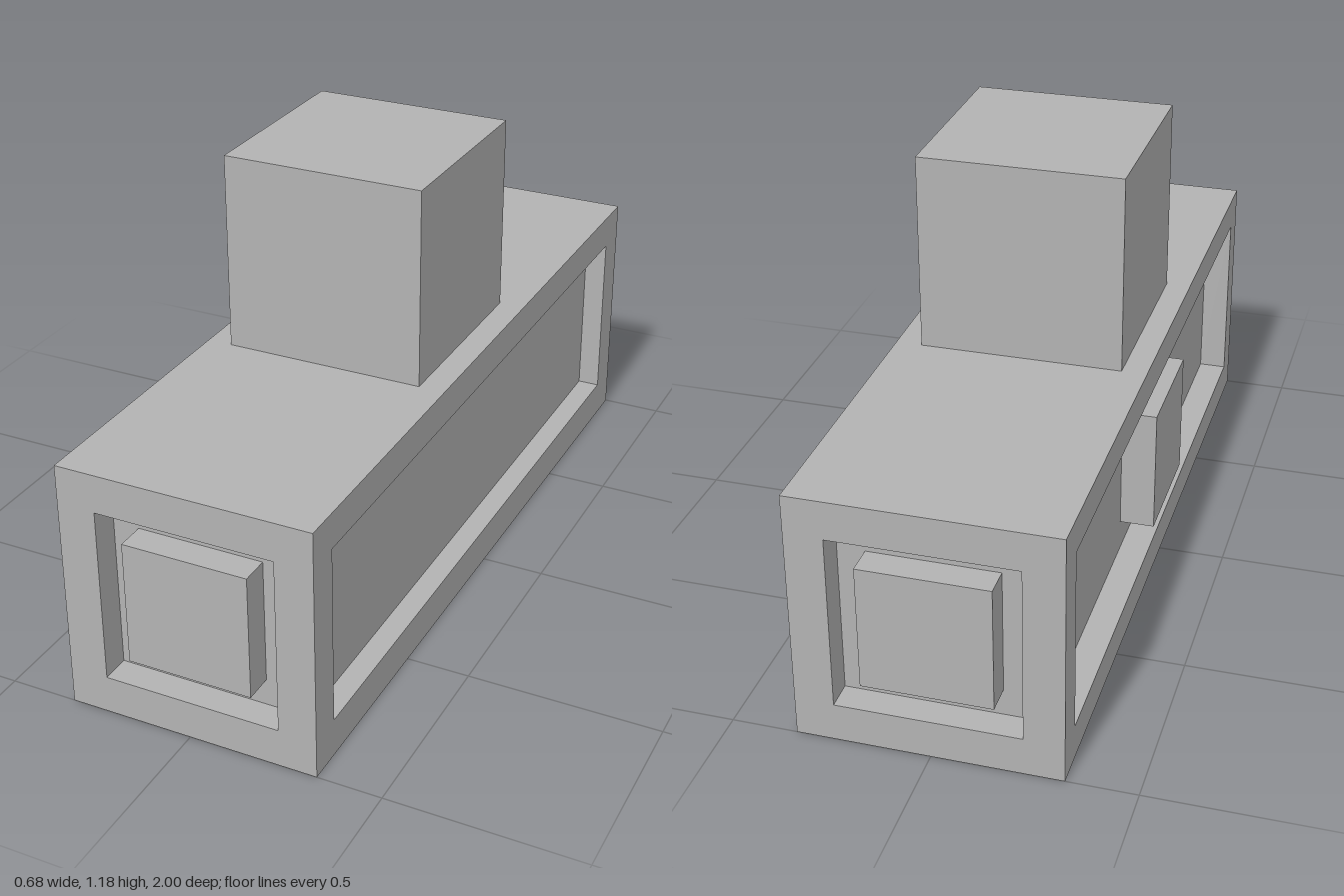
import * as THREE from 'three';

const L = -0.325, R = 0.335, H = 0.66, END = 1;   // body limits
const DEPTH_END = 0.075, DEPTH_R = 0.06, DEPTH_L = 0.075; // recess depths

export function createModel() {
  const model = new THREE.Group();
  model.name = 'recessedBlock';
  const grey = new THREE.MeshStandardMaterial({ color: 0xb3b3b3 });
  grey.name = 'plain grey';

  const add = (name, geometry) => {
    const mesh = new THREE.Mesh(geometry, grey);
    mesh.name = name;
    model.add(mesh);
    return mesh;
  };

  // Box given by its limits on each axis
  const box = (name, x0, x1, y0, y1, z0, z1) =>
    add(name, new THREE.BoxGeometry(x1 - x0, y1 - y0, z1 - z0)
      .translate((x0 + x1) / 2, (y0 + y1) / 2, (z0 + z1) / 2));

  // Rectangular frame with a rectangular opening, extruded along z
  const rect = (Type, u0, u1, v0, v1) => new Type([
    new THREE.Vector2(u0, v0), new THREE.Vector2(u1, v0),
    new THREE.Vector2(u1, v1), new THREE.Vector2(u0, v1)]);
  const frame = (u0, u1, hole, depth) => {
    const shape = rect(THREE.Shape, u0, u1, 0, H);
    shape.holes.push(rect(THREE.Path, ...hole));
    return new THREE.ExtrudeGeometry(shape, { depth, bevelEnabled: false });
  };

  // Core, whose faces form the floors of the recesses
  const inner = END - DEPTH_END;
  box('core', L + DEPTH_L, R - DEPTH_R, 0, H, -inner, inner);

  // Front and back: frame with a square block flush in the recess
  for (const [side, z] of [['front', inner], ['back', -END]]) {
    add(side + 'Frame', frame(L, R, [-0.225, 0.237, 0.1, 0.56], DEPTH_END).translate(0, 0, z));
    box(side + 'Block', -0.157, 0.168, 0.17, 0.495, z, z + DEPTH_END);
  }

  // Long side frames; the shape's u axis runs along -z after turning
  add('rightFrame', frame(-inner, inner, [-0.91, 0.905, 0.1, 0.568], DEPTH_R)
    .rotateY(Math.PI / 2).translate(R - DEPTH_R, 0, 0));
  add('leftFrame', frame(-inner, inner, [-0.92, 0.913, 0.092, 0.572], DEPTH_L)
    .rotateY(Math.PI / 2).translate(L, 0, 0));

  // Block standing slightly proud of the left recess
  box('leftBlock', -0.34, L + DEPTH_L, 0.175, 0.505, -0.165, 0.165);

  // Tower on top
  box('tower', -0.26, 0.267, H, 1.176, -0.228, 0.298);

  return model;
}
